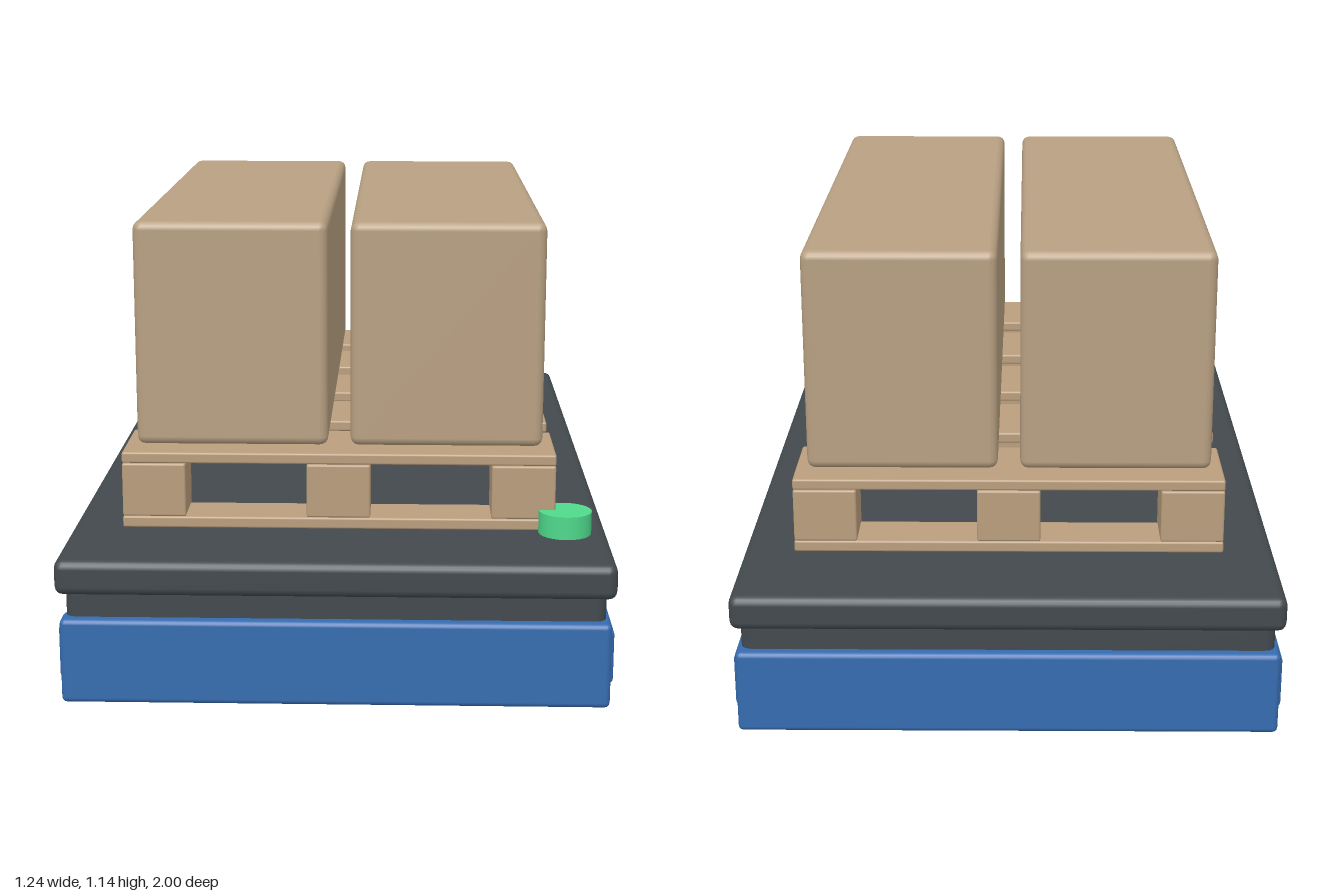
import * as THREE from 'three';
import { RoundedBoxGeometry } from 'three/addons/geometries/RoundedBoxGeometry.js';

const material = (name, color) => {
  const m = new THREE.MeshStandardMaterial({ color });
  m.name = name;
  return m;
};

export function createModel() {
  const charcoal = material('charcoal', 0x42494d);
  const blue = material('blue', 0x366cb0);
  const black = material('black', 0x1d1d1f);
  const cardboard = material('cardboard', 0xb8a082);
  const wood = material('wood', 0xba9e7d);
  const green = material('green', 0x4fd98c);

  const model = new THREE.Group();
  model.name = 'palletCart';

  const add = (parent, name, geometry, mat, x, y, z) => {
    const mesh = new THREE.Mesh(geometry, mat);
    mesh.name = name;
    mesh.position.set(x, y, z);
    parent.add(mesh);
    return mesh;
  };
  // Rounded block given by its size, bottom height and edge radius
  const block = (parent, name, mat, [w, h, d], [x, bottom, z], radius) =>
    add(parent, name, new RoundedBoxGeometry(w, h, d, 2, radius), mat, x, bottom + h / 2, z);

  // Chassis and overhanging deck
  block(model, 'chassis', charcoal, [1.2, 0.285, 1.95], [0, 0.095, 0], 0.025);
  block(model, 'deck', charcoal, [1.24, 0.08, 2], [0, 0.356, 0], 0.02);

  // Bumpers on the ends, panels along the sides
  for (const s of [1, -1]) {
    block(model, s > 0 ? 'frontBumper' : 'rearBumper', blue, [1.22, 0.195, 0.065], [0, 0.106, s * 0.9675], 0.012);
    block(model, s > 0 ? 'leftPanel' : 'rightPanel', blue, [0.05, 0.125, 1.9], [s * 0.596, 0.145, 0], 0.01);
  }

  // Wheels
  const wheel = new THREE.CylinderGeometry(0.086, 0.086, 0.1, 28).rotateZ(Math.PI / 2);
  for (const x of [-0.45, 0.45])
    for (const z of [-0.69, 0.69]) add(model, 'wheel', wheel, black, x, 0.086, z);

  // Pallet: bottom boards, blocks, top boards
  const pallet = new THREE.Group();
  pallet.name = 'pallet';
  model.add(pallet);
  for (const z of [-0.687, 0, 0.687]) {
    block(pallet, 'bottomBoard', wood, [1, 0.027, 0.122], [0, 0.439, z], 0.005);
    for (const x of [-0.426, 0, 0.426])
      block(pallet, 'palletBlock', wood, [0.147, 0.126, 0.122], [x, 0.466, z], 0.005);
  }
  for (let i = -2; i <= 2; i++)
    block(pallet, 'topBoard', wood, [1, 0.026, 0.222], [0, 0.592, i * 0.317], 0.005);

  // Two long cartons
  for (const x of [-0.249, 0.249])
    block(model, 'carton', cardboard, [0.446, 0.523, 1.37], [x, 0.62, 0], 0.02);

  // Status light on the front left corner of the deck
  add(model, 'statusLight', new THREE.CylinderGeometry(0.061, 0.061, 0.054, 24), green, 0.522, 0.462, 0.748);

  return model;
}
